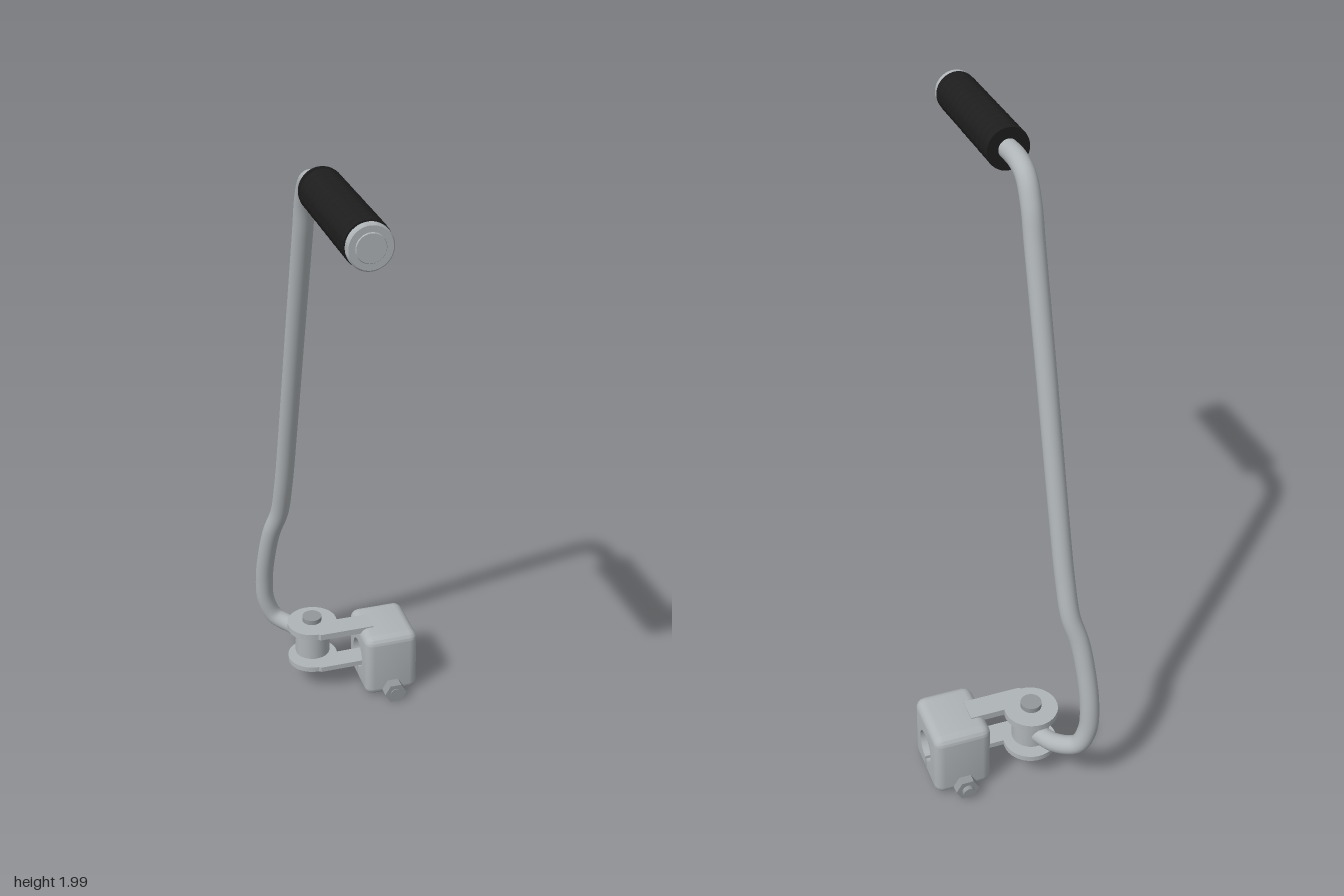
import * as THREE from 'three';
import { toCreasedNormals } from 'three/addons/utils/BufferGeometryUtils.js';

const V = (x, y, z) => new THREE.Vector3(x, y, z);

export function createModel() {
  const group = new THREE.Group();
  const material = (name, color) => {
    const m = new THREE.MeshStandardMaterial({ color });
    m.name = name;
    return m;
  };
  const metal = material('brushed metal', 0xafb4b7);
  const hardware = material('bolt metal', 0x93979a);
  const rubber = material('black rubber', 0x1d1d1d);

  const add = (name, geometry, mat, x = 0, y = 0, z = 0) => {
    const mesh = new THREE.Mesh(geometry, mat);
    mesh.name = name;
    mesh.position.set(x, y, z);
    group.add(mesh);
    return mesh;
  };

  // Bent lever tube, from the pivot hub up to inside the grip
  const path = new THREE.CatmullRomCurve3([
    V(-0.087, 0.17, -0.38), V(-0.13, 0.172, -0.455), V(-0.185, 0.195, -0.503),
    V(-0.212, 0.26, -0.513), V(-0.217, 0.36, -0.505), V(-0.207, 0.5, -0.474),
    V(-0.195, 0.58, -0.452), V(-0.174, 0.66, -0.426), V(-0.166, 0.78, -0.39),
    V(-0.16, 1.0, -0.332), V(-0.153, 1.4, -0.225), V(-0.148, 1.75, -0.125),
    V(-0.148, 1.85, -0.093), V(-0.148, 1.915, -0.05), V(-0.148, 1.937, 0.01),
    V(-0.148, 1.937, 0.1), V(-0.148, 1.937, 0.3),
  ]);
  add('leverTube', new THREE.TubeGeometry(path, 140, 0.03, 24), metal);

  // Ribbed grip: a lathed profile with evenly spaced ridges
  const ribs = 12, length = 0.435, perRib = 8;
  const profile = [new THREE.Vector2(0.025, 0), new THREE.Vector2(0.063, 0), new THREE.Vector2(0.064, 0.008)];
  for (let i = 0; i <= ribs * perRib; i++) {
    const wave = Math.abs(Math.sin((Math.PI * i) / perRib));
    profile.push(new THREE.Vector2(0.0585 + 0.0055 * wave, 0.01 + (length - 0.018) * i / (ribs * perRib)));
  }
  profile.push(new THREE.Vector2(0.063, length), new THREE.Vector2(0, length));
  const grip = toCreasedNormals(new THREE.LatheGeometry(profile, 40), 0.7);
  add('grip', grip.rotateX(Math.PI / 2), rubber, -0.148, 1.937, 0.083);

  // Metal cap on the grip end
  const capProfile = [[0, 0], [0.058, 0], [0.061, 0.003], [0.061, 0.017], [0.057, 0.021], [0.04, 0.021], [0.038, 0.024], [0, 0.024]]
    .map(([r, h]) => new THREE.Vector2(r, h));
  const cap = toCreasedNormals(new THREE.LatheGeometry(capProfile, 40), 0.5);
  add('gripEndCap', cap.rotateX(Math.PI / 2), metal, -0.148, 1.937, 0.52);

  // Clamp block: rounded square outline with a bore and a split down to the base
  const hz = 0.11, hy = 0.1175, hx = 0.0925, round = 0.03, bore = 0.052, slit = 0.005;
  const angle = Math.asin(slit / bore);
  const outline = new THREE.Shape();
  outline.moveTo(slit, -hy);
  outline.lineTo(hz - round, -hy);
  outline.absarc(hz - round, -hy + round, round, -Math.PI / 2, 0, false);
  outline.absarc(hz - round, hy - round, round, 0, Math.PI / 2, false);
  outline.absarc(-hz + round, hy - round, round, Math.PI / 2, Math.PI, false);
  outline.absarc(-hz + round, -hy + round, round, Math.PI, Math.PI * 1.5, false);
  outline.lineTo(-slit, -hy);
  outline.lineTo(-slit, -bore * Math.cos(angle));
  outline.absarc(0, 0, bore, -Math.PI / 2 - angle, -Math.PI / 2 + angle, true);
  const block = new THREE.ExtrudeGeometry(outline, { depth: 1, steps: 9, bevelEnabled: false, curveSegments: 10 });
  // Round the outer edges by pulling the end layers inwards, leaving the bore straight
  const pos = block.attributes.position;
  for (let i = 0; i < pos.count; i++) {
    const layer = Math.round(pos.getZ(i) * 9);
    const t = (Math.max(4 - layer, layer - 5, 0) / 4) * (Math.PI / 2);
    const side = layer < 5 ? -1 : 1;
    const k = 0.08 + 0.92 * Math.cos(t);
    const ix = THREE.MathUtils.clamp(pos.getX(i), -hz + round, hz - round);
    const iy = THREE.MathUtils.clamp(pos.getY(i), -hy + round, hy - round);
    pos.setXYZ(i, ix + (pos.getX(i) - ix) * k, iy + (pos.getY(i) - iy) * k,
      side * (hx - round + round * Math.sin(t)));
  }
  block.rotateY(Math.PI / 2);
  add('clampBlock', toCreasedNormals(block, 0.6), metal, 0.1525, 0.1275, -0.295);

  // Pivot plates: a disc with an arm reaching to the block
  const plate = new THREE.Shape();
  plate.moveTo(-0.08, 0.264);
  plate.lineTo(0.107, 0.264);
  plate.lineTo(0.107, 0.34);
  plate.lineTo(-0.004, 0.34);
  plate.absarc(-0.087, 0.355, 0.085, -0.18, Math.PI * 1.5, false);
  const plateGeometry = (depth) => {
    const g = new THREE.ExtrudeGeometry(plate, { depth, bevelEnabled: false, curveSegments: 40 });
    return toCreasedNormals(g.rotateX(-Math.PI / 2), 0.5);
  };
  add('upperPivotPlate', plateGeometry(0.022), metal, 0, 0.227, 0);
  add('lowerPivotPlate', plateGeometry(0.018), metal, 0, 0.094, 0);

  // Pivot hub, pin and pin heads
  const upright = (name, radius, y0, y1, mat) =>
    add(name, new THREE.CylinderGeometry(radius, radius, y1 - y0, 32), mat, -0.087, (y0 + y1) / 2, -0.355);
  upright('pivotHub', 0.059, 0.13, 0.217, metal);
  upright('pivotPin', 0.02, 0.086, 0.256, hardware);
  upright('pinHead', 0.033, 0.254, 0.271, hardware);
  upright('pinFoot', 0.025, 0.084, 0.094, hardware);

  // Clamp bolt ends: hexagons and round studs on the front and back of the block
  const along = (name, radius, sides, z0, z1) => {
    const g = new THREE.CylinderGeometry(radius, radius, z1 - z0, sides);
    if (sides === 6) g.rotateY(Math.PI / 6);
    add(name, toCreasedNormals(g.rotateX(Math.PI / 2), 0.5), hardware, 0.152, 0.04, (z0 + z1) / 2);
  };
  along('frontBoltHead', 0.038, 6, -0.178, -0.142);
  along('frontBoltStud', 0.019, 24, -0.2, -0.139);
  along('backNut', 0.038, 6, -0.437, -0.409);
  along('backBoltStud', 0.019, 24, -0.452, -0.39);

  return group;
}
